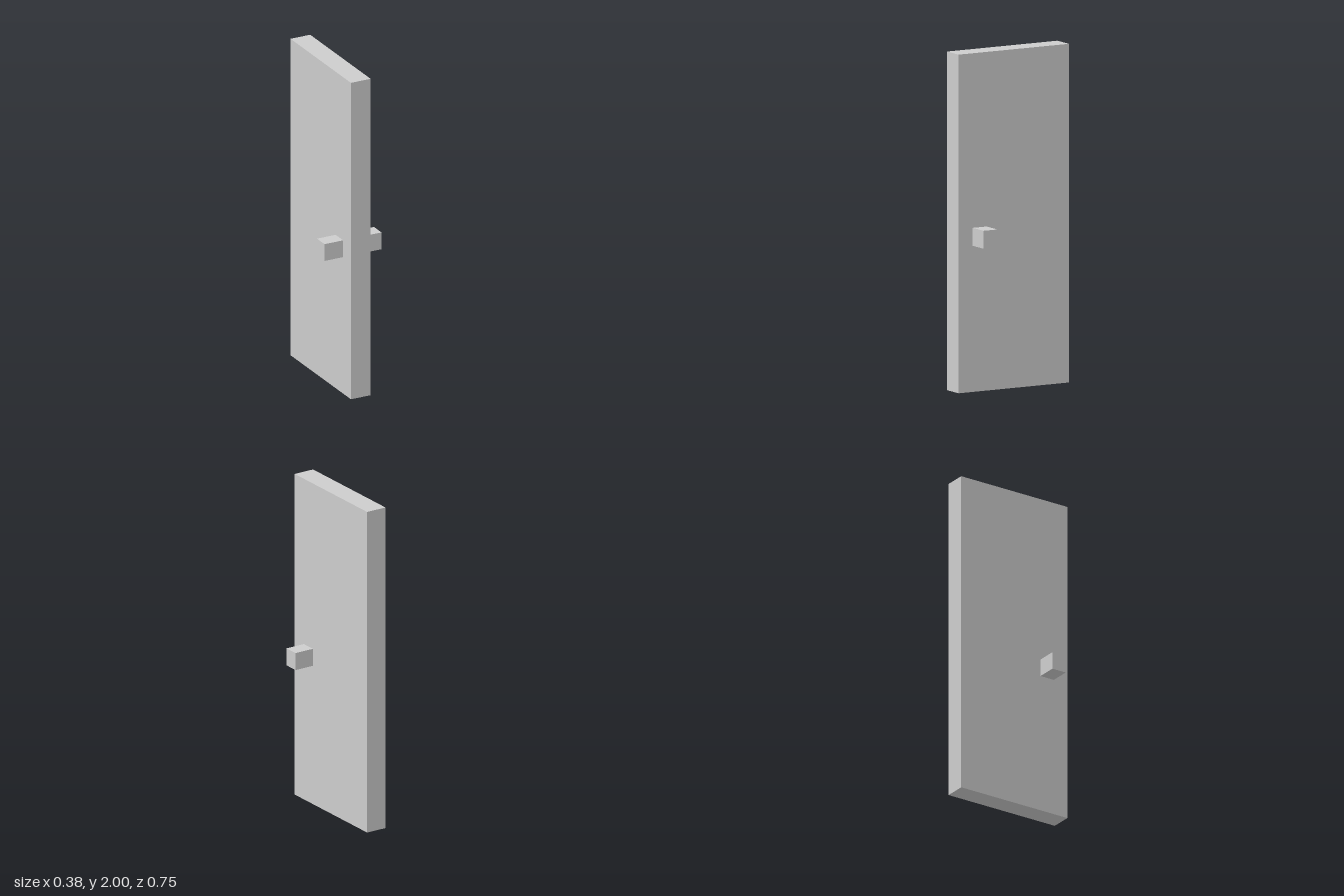
import * as THREE from 'three';

export function createModel() {
  const group = new THREE.Group();
  const lightGrey = new THREE.MeshStandardMaterial({ color: 0xcccccc });
  lightGrey.name = 'light grey';

  const addBox = (name, size, position) => {
    const mesh = new THREE.Mesh(new THREE.BoxGeometry(...size), lightGrey);
    mesh.name = name;
    mesh.position.set(...position);
    group.add(mesh);
  };

  // Door slab
  addBox('doorPanel', [0.13, 2, 0.75], [0, 1, 0]);

  // One square knob on each face
  for (const [name, side] of [['leftKnob', 1], ['rightKnob', -1]]) {
    addBox(name, [0.123, 0.106, 0.094], [side * 0.1265, 0.916, 0.232]);
  }

  return group;
}
